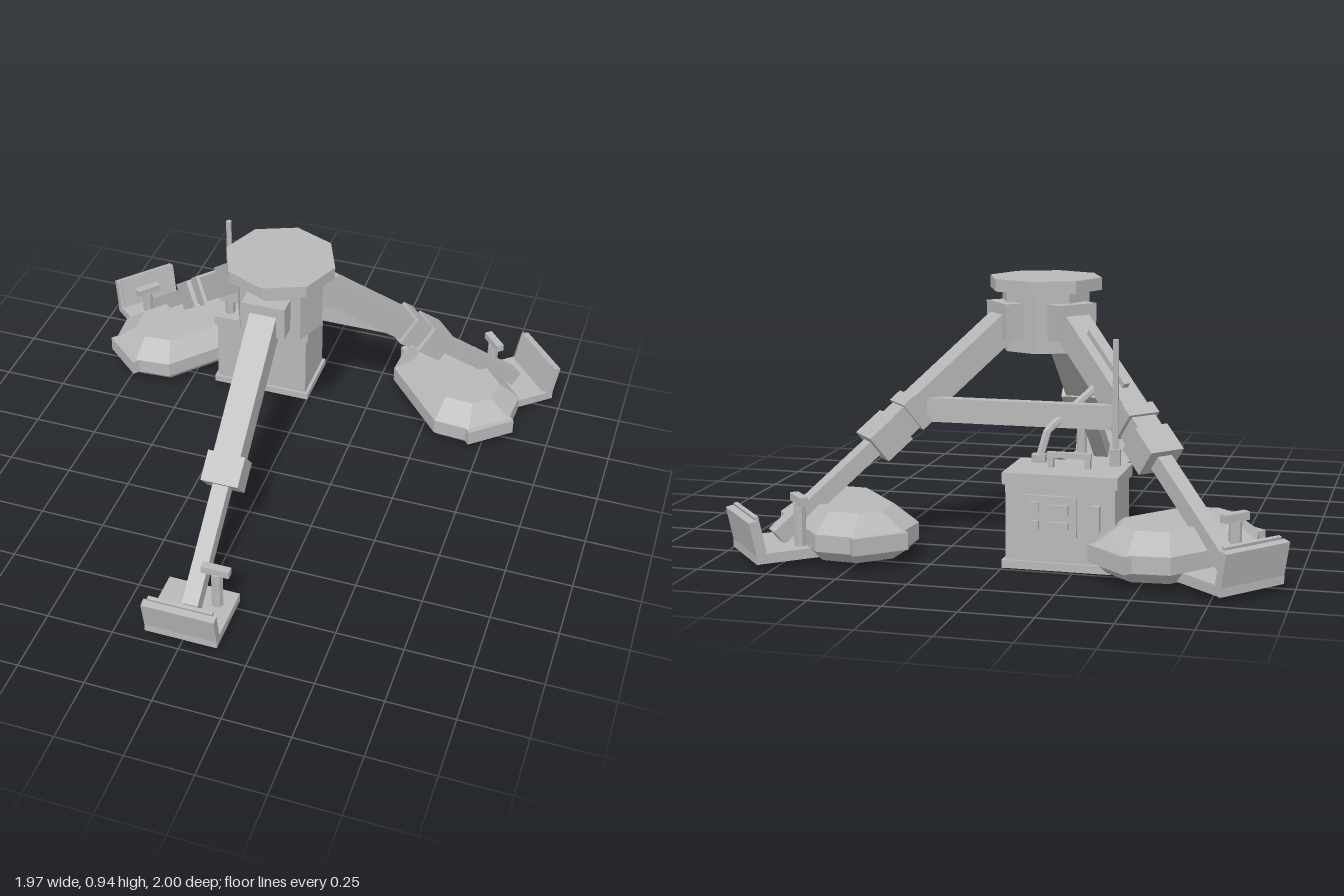
import * as THREE from 'three';

const metal = new THREE.MeshStandardMaterial({ color: 0xb8b8b8 });
metal.name = 'grey metal';

// Adds a faceted mesh to a parent
function add(parent, name, geometry, x = 0, y = 0, z = 0) {
  const g = geometry.index ? geometry.toNonIndexed() : geometry;
  g.computeVertexNormals();
  const mesh = new THREE.Mesh(g, metal);
  mesh.name = name;
  mesh.position.set(x, y, z);
  parent.add(mesh);
  return mesh;
}
const box = (w, h, d) => new THREE.BoxGeometry(w, h, d);
const rod = (r, h, n = 6) => new THREE.CylinderGeometry(r, r, h, n);

// Chamfered pod body from octagonal cross-sections
function podGeometry(length, width, chamfer) {
  const sections = [[0.02, 0.035], [0.06, 0], [0.12, 0], [0.183, 0.07]];
  const positions = [];
  const index = [];
  for (const [y, inset] of sections) {
    const a = length / 2 - inset, b = width / 2 - inset, c = chamfer - inset * 0.3;
    for (const [x, z] of [[a, b - c], [a - c, b], [c - a, b], [-a, b - c],
      [-a, c - b], [c - a, -b], [a - c, -b], [a, c - b]]) positions.push(x, y, z);
  }
  const last = (sections.length - 1) * 8;
  for (let s = 0; s < last; s += 8) {
    for (let i = 0; i < 8; i++) {
      const j = (i + 1) % 8;
      index.push(s + i, s + 8 + i, s + j, s + j, s + 8 + i, s + 8 + j);
    }
  }
  for (let i = 1; i < 7; i++) {
    index.push(0, i, i + 1);
    index.push(last, last + i + 1, last + i);
  }
  const g = new THREE.BufferGeometry();
  g.setAttribute('position', new THREE.Float32BufferAttribute(positions, 3));
  g.setIndex(index);
  return g;
}

// One telescopic leg pointing along +z, ending at radius reach
function createLeg(name, reach, angle, isBack) {
  const leg = new THREE.Group();
  leg.name = name;
  leg.position.z = -0.12;
  leg.rotation.y = angle;
  const r0 = 0.17, y0 = 0.77, y1 = 0.08;
  const slope = Math.atan2(y0 - y1, reach - r0);
  const total = Math.hypot(y0 - y1, reach - r0);
  const beam = (part, w, h, t0, t1, lift = 0) => {
    const t = (t0 + t1) / 2;
    const m = add(leg, part, box(w, h, total * (t1 - t0)), 0,
      y0 + (y1 - y0) * t + lift * Math.cos(slope), r0 + (reach - r0) * t + lift * Math.sin(slope));
    m.rotation.x = slope;
  };
  add(leg, 'hubBracket', box(0.165, 0.13, 0.09), 0, 0.785, 0.155);
  beam('upperBeam', 0.102, 0.1, -0.02, 0.54);
  beam('collar', 0.14, 0.11, 0.485, 0.59);
  beam('lowerBeam', 0.06, 0.06, 0.5, 1);
  if (isBack) beam('braceClamp', 0.13, 0.12, 0.395, 0.44);

  // Foot plate with a tilted outer lip
  add(leg, 'footPlate', box(0.27, 0.035, 0.245), 0, 0.0425, reach - 0.0075);
  add(leg, 'footLip', box(0.27, 0.15, 0.03), 0, 0.1, reach + 0.109).rotation.x = 0.2;
  add(leg, 'lipRidge', box(0.24, 0.15, 0.014), 0, 0.113, reach + 0.093).rotation.x = 0.2;

  // Anchor pin with T handle
  add(leg, 'anchorPin', rod(0.022, 0.16, 8), 0.075, 0.13, reach - 0.06);
  add(leg, 'anchorHandle', box(0.105, 0.028, 0.03), 0.072, 0.222, reach - 0.06);

  // Weight pod lying across the back legs
  if (isBack) {
    add(leg, 'pod', podGeometry(0.57, 0.38, 0.1), 0, 0, 0.78);
    for (const s of [-1, 1]) add(leg, 'podEndTab', box(0.05, 0.06, 0.2), s * 0.28, 0.09, 0.78);
  }
  if (name === 'rightBackLeg') beam('legConduit', 0.024, 0.02, 0.08, 0.32, 0.06);
  return leg;
}

// Control box with handle, aerial, panel and cable
function createControlBox() {
  const unit = new THREE.Group();
  unit.name = 'controlBox';
  const cx = -0.2, cz = -0.603;
  add(unit, 'boxBase', box(0.405, 0.028, 0.255), cx, 0.014, cz);
  add(unit, 'boxBody', box(0.38, 0.27, 0.235), cx, 0.16, cz);
  add(unit, 'boxLid', box(0.4, 0.042, 0.25), cx, 0.311, cz);

  for (const s of [-1, 1]) add(unit, 'handlePost', box(0.02, 0.04, 0.02), cx - 0.005 + s * 0.065, 0.35, cz);
  add(unit, 'handleGrip', box(0.155, 0.02, 0.022), cx - 0.005, 0.375, cz);

  add(unit, 'aerialBase', rod(0.021, 0.06), -0.35, 0.36, -0.53);
  add(unit, 'aerial', rod(0.011, 0.42), -0.35, 0.56, -0.53);

  // Back control panel
  add(unit, 'panel', box(0.19, 0.14, 0.014), -0.165, 0.19, -0.725);
  for (const [x, y, w, h] of [[-0.2, 0.215, 0.065, 0.035], [-0.115, 0.22, 0.03, 0.04],
    [-0.2, 0.16, 0.065, 0.025], [-0.115, 0.16, 0.03, 0.03]]) {
    add(unit, 'panelControl', box(w, h, 0.016), x, y, -0.736);
  }
  add(unit, 'panelLatch', box(0.03, 0.09, 0.02), -0.325, 0.19, -0.728);

  add(unit, 'cableSocket', rod(0.028, 0.03), -0.08, 0.345, -0.53);
  const path = new THREE.CurvePath();
  const points = [[-0.08, 0.34, -0.53], [-0.105, 0.44, -0.51], [-0.24, 0.57, -0.39], [-0.28, 0.62, -0.35]]
    .map(p => new THREE.Vector3(...p));
  for (let i = 0; i < 3; i++) path.add(new THREE.LineCurve3(points[i], points[i + 1]));
  add(unit, 'cable', new THREE.TubeGeometry(path, 16, 0.015, 6));
  return unit;
}

export function createModel() {
  const model = new THREE.Group();
  model.name = 'tripodStand';

  // Octagonal hub
  add(model, 'hubCap', rod(0.21, 0.045, 8), 0, 0.9125, -0.12);
  add(model, 'hubBody', rod(0.165, 0.22, 8), 0, 0.78, -0.12);

  // Three legs and the brace between the back pair
  const spread = THREE.MathUtils.degToRad(131);
  model.add(createLeg('frontLeg', 0.981, 0, false));
  model.add(createLeg('leftBackLeg', 1.046, spread, true));
  model.add(createLeg('rightBackLeg', 1.046, -spread, true));
  add(model, 'crossBrace', box(0.84, 0.085, 0.045), 0, 0.488, -0.463);

  model.add(createControlBox());
  return model;
}
